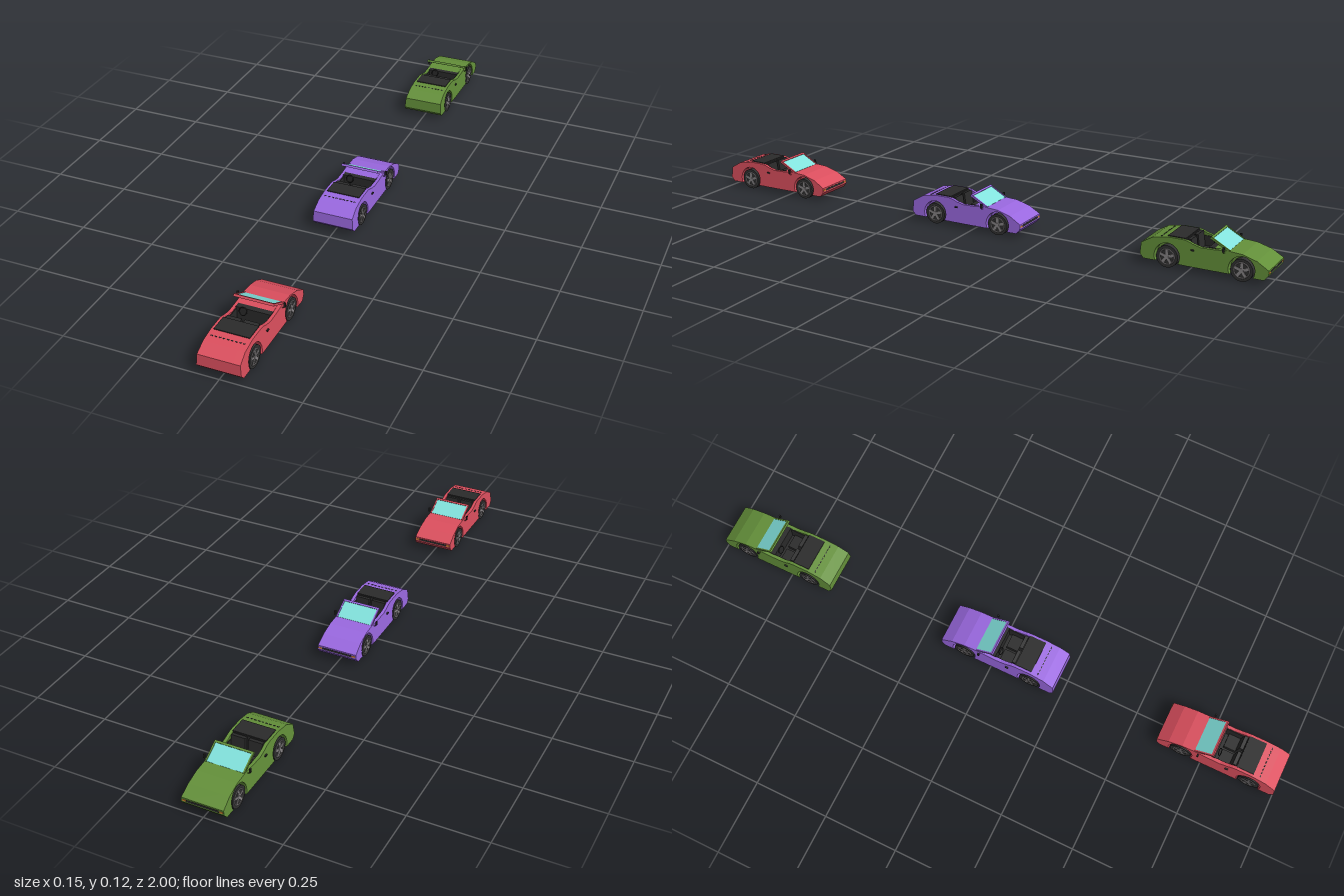
import * as THREE from 'three';

const mat = (color) => new THREE.MeshStandardMaterial({ color });
const BLACK = mat(0x2b2b2b), TYRE = mat(0x333333), RIM = mat(0x8c888a);
const GLASS = mat(0x82e2dd), LAMP = mat(0xe08a30);
GLASS.side = THREE.DoubleSide;

function add(group, name, geometry, material, x = 0, y = 0, z = 0) {
  const mesh = new THREE.Mesh(geometry, material);
  mesh.name = name;
  mesh.position.set(x, y, z);
  group.add(mesh);
  return mesh;
}
const box = (w, h, d) => new THREE.BoxGeometry(w, h, d);

const WHEELS = [0.115, -0.12]; // rear, front (the nose points to -z)
const WHEEL_Y = 0.037, ARCH = 0.041, SILL = 0.018;
// Top line from nose to tail as [z, y]
const HOOD = [[-0.19, SILL], [-0.2025, 0.033], [-0.2025, 0.049], [-0.165, 0.071], [-0.12, 0.084], [-0.075, 0.087]];
const BELT = [[-0.03, 0.083], [0.01, 0.082], [0.035, 0.088], [0.05, 0.094]];
const PIT = [[-0.03, 0.085], [-0.03, 0.03], [0.062, 0.03]];
const TAIL = [[0.065, 0.097], [0.118, 0.097], [0.165, 0.088], [0.2, 0.067], [0.2025, 0.031], [0.19, SILL]];

// One lengthwise slice of the body, between x0 and x1, leaning in toward the top
function bodySlice(x0, x1, arches, cockpit) {
  const s = new THREE.Shape();
  s.moveTo(-0.19, SILL);
  if (arches) {
    const a = Math.asin((WHEEL_Y - SILL) / ARCH);
    for (const z of WHEELS) s.absarc(-z, WHEEL_Y, ARCH, Math.PI + a, -a, true);
  }
  for (const [z, y] of [...HOOD, ...(cockpit ? PIT : BELT), ...TAIL]) s.lineTo(-z, y);
  const g = new THREE.ExtrudeGeometry(s, { depth: x1 - x0, bevelEnabled: false, curveSegments: 16 });
  g.rotateY(Math.PI / 2).translate(x0, 0, 0);
  const p = g.attributes.position;
  for (let i = 0; i < p.count; i++) p.setX(i, p.getX(i) * (1 - 1.1 * (p.getY(i) - 0.025)));
  g.computeVertexNormals();
  return g;
}

function wheel(side) {
  const w = new THREE.Group();
  w.name = 'wheel';
  const disc = (r, d) => new THREE.CylinderGeometry(r, r, d, 24).rotateZ(Math.PI / 2);
  add(w, 'tyre', disc(0.035, 0.021), TYRE);
  const ring = new THREE.TorusGeometry(0.024, 0.002, 6, 24).rotateY(Math.PI / 2);
  add(w, 'rim', ring, RIM, side * 0.0105);
  add(w, 'hub', disc(0.006, 0.003), RIM, side * 0.0115);
  for (let i = 0; i < 5; i++) {
    const spoke = box(0.002, 0.022, 0.008).translate(0, 0.012, 0).rotateX(i * Math.PI * 0.4);
    add(w, 'spoke', spoke, RIM, side * 0.011);
  }
  return w;
}

function car(color) {
  const g = new THREE.Group();
  const paint = mat(color);

  // Body: solid core, then wheel-well layers, then outer sides
  add(g, 'bodyCore', bodySlice(-0.044, 0.044, false, true), paint);
  for (const [a, b, pit] of [[0.044, 0.058, true], [0.058, 0.0695, false]]) {
    add(g, 'bodySide', bodySlice(a, b, true, pit), paint);
    add(g, 'bodySide', bodySlice(-b, -a, true, pit), paint);
  }

  // Cockpit lining, dashboard, folded roof and underside panel
  add(g, 'cockpitFloor', box(0.11, 0.003, 0.092), BLACK, 0, 0.031, 0.016);
  add(g, 'cockpitBack', box(0.11, 0.066, 0.004), BLACK, 0, 0.064, 0.062);
  add(g, 'dashboard', box(0.11, 0.05, 0.022), BLACK, 0, 0.06, -0.023);
  add(g, 'roofCover', box(0.111, 0.005, 0.057), BLACK, 0, 0.097, 0.09);
  add(g, 'floorPanel', box(0.134, 0.002, 0.09), BLACK, 0, SILL - 0.0005, 0.01);
  const steering = add(g, 'steeringWheel', new THREE.TorusGeometry(0.012, 0.0015, 6, 20), BLACK, -0.028, 0.08, -0.004);
  steering.rotation.x = -0.4;

  for (const side of [1, -1]) {
    // Seats and door linings
    add(g, 'seatCushion', box(0.046, 0.016, 0.045), BLACK, side * 0.028, 0.04, 0.022);
    const back = add(g, 'seatBack', box(0.046, 0.056, 0.012), BLACK, side * 0.028, 0.068, 0.048);
    back.rotation.x = 0.15;
    add(g, 'doorLining', box(0.003, 0.05, 0.092), BLACK, side * 0.0535, 0.055, 0.016);

    // Wheels
    for (const z of WHEELS) {
      const w = wheel(side);
      w.position.set(side * 0.0565, 0.0355, z);
      g.add(w);
    }

    // Mirrors, door handles and nose lamps
    const arm = new THREE.CatmullRomCurve3([[0.063, 0.079], [0.07, 0.08], [0.0745, 0.086], [0.075, 0.098]]
      .map(([x, y]) => new THREE.Vector3(side * x, y, -0.064)));
    add(g, 'mirrorArm', new THREE.TubeGeometry(arm, 10, 0.0017, 6), paint);
    add(g, 'mirror', box(0.005, 0.014, 0.006), BLACK, side * 0.0745, 0.091, -0.064);
    add(g, 'doorHandle', box(0.005, 0.004, 0.01), BLACK, side * 0.068, 0.07, 0.035);
    add(g, 'noseLamp', box(0.012, 0.005, 0.003), LAMP, side * 0.059, 0.041, -0.202);
  }
  add(g, 'grille', box(0.104, 0.007, 0.003), BLACK, 0, 0.041, -0.202);

  // Vent slots across the rear deck
  for (let i = -4; i <= 4; i++) {
    const slot = add(g, 'deckVent', box(0.007, 0.002, 0.003), BLACK, i * 0.0125, 0.0928, 0.14);
    slot.rotation.x = 0.19;
  }

  // Raked windscreen with a painted frame
  const screen = new THREE.Group();
  screen.name = 'windscreen';
  screen.position.set(0, 0.0845, -0.078);
  screen.rotation.x = -0.5;
  add(screen, 'glass', box(0.118, 0.002, 0.062), GLASS, 0, 0.002, 0.032);
  add(screen, 'frameTop', box(0.127, 0.008, 0.007), paint, 0, 0.001, 0.065);
  for (const side of [1, -1]) add(screen, 'framePillar', box(0.005, 0.007, 0.066), paint, side * 0.061, 0.001, 0.033);
  g.add(screen);
  return g;
}

export function createModel() {
  const model = new THREE.Group();
  model.name = 'threeConvertibles';
  const list = [['redCar', 0xdc4f5e, 0.7975], ['purpleCar', 0x9a68e0, 0.023], ['greenCar', 0x64903a, -0.7975]];
  for (const [name, color, z] of list) {
    const c = car(color);
    c.name = name;
    c.position.z = z;
    model.add(c);
  }
  return model;
}
